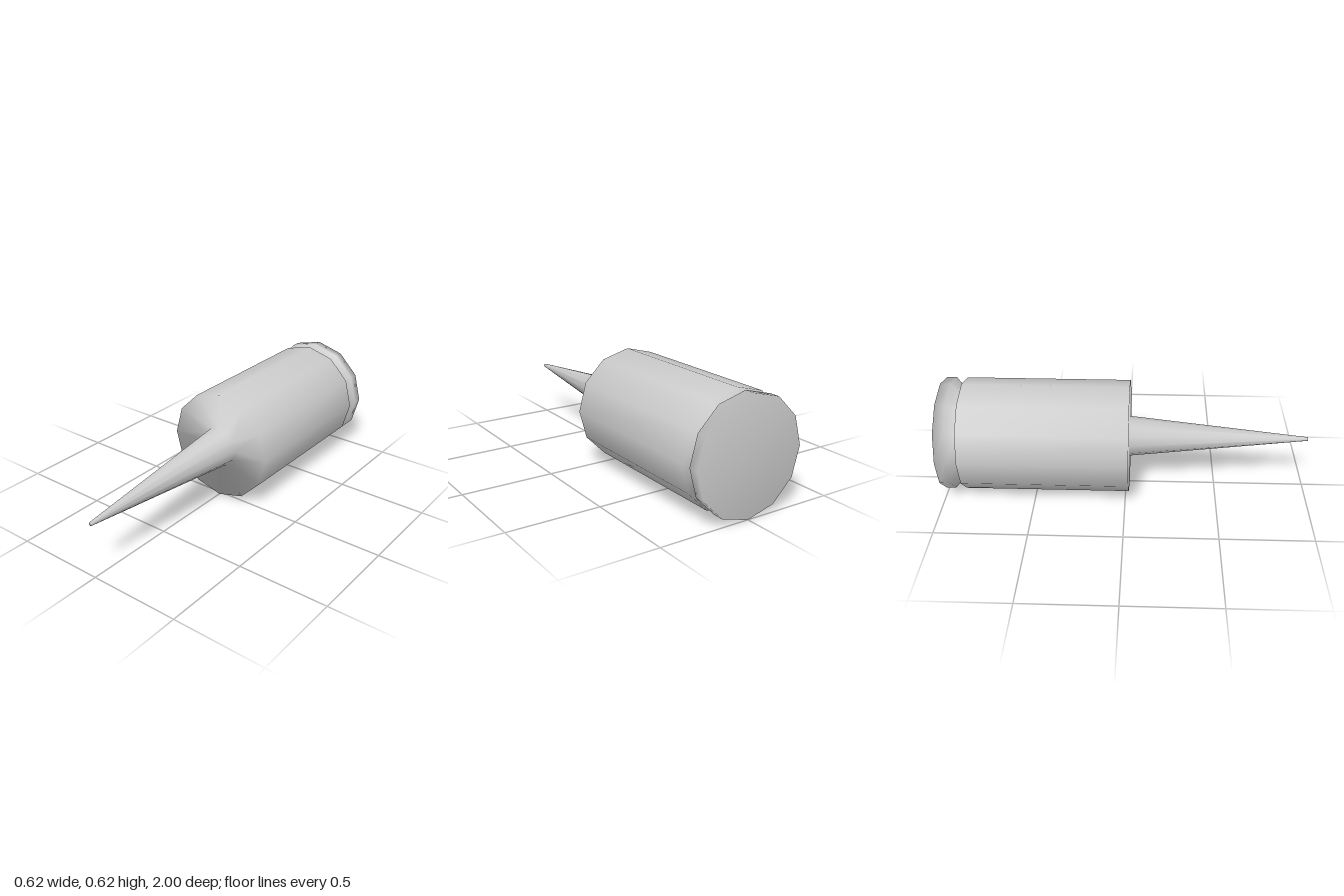
import * as THREE from 'three';

const SIDES = 12;
const RADIUS = 0.308;

// Half outline as [radius, z], running from the back cap to the tip.
const PROFILE = [
  [0, -1], [RADIUS, -1], [RADIUS, -0.945], [0.235, -0.885], // flared cap
  [RADIUS, -0.885], [RADIUS, 0.02], [0.11, 0.02],           // barrel
  [0.01, 1], [0, 1],                                        // spike
];

// Outline segments belonging to each part: [first, end).
const PARTS = { cap: [0, 3], barrel: [3, 6], spike: [6, 8] };

export function createModel() {
  const model = new THREE.Group();
  model.name = 'spikedCylinder';
  const material = new THREE.MeshStandardMaterial({ color: 0xcccccc });

  // One turned surface, so the smooth normals run on from part to part.
  const points = PROFILE.map(([r, z]) => new THREE.Vector2(r, z));
  const turned = new THREE.LatheGeometry(points, SIDES);
  turned.rotateX(Math.PI / 2);
  turned.translate(0, RADIUS, 0);

  // Each part takes its own bands of faces from the turned surface.
  const rowLength = (PROFILE.length - 1) * 6;
  const faces = Array.from(turned.index.array);
  for (const [name, [first, end]] of Object.entries(PARTS)) {
    const index = [];
    for (let side = 0; side < SIDES; side++) {
      const start = side * rowLength;
      index.push(...faces.slice(start + first * 6, start + end * 6));
    }
    const geometry = turned.clone().setIndex(index).toNonIndexed();
    const mesh = new THREE.Mesh(geometry, material);
    mesh.name = name;
    model.add(mesh);
  }
  return model;
}
